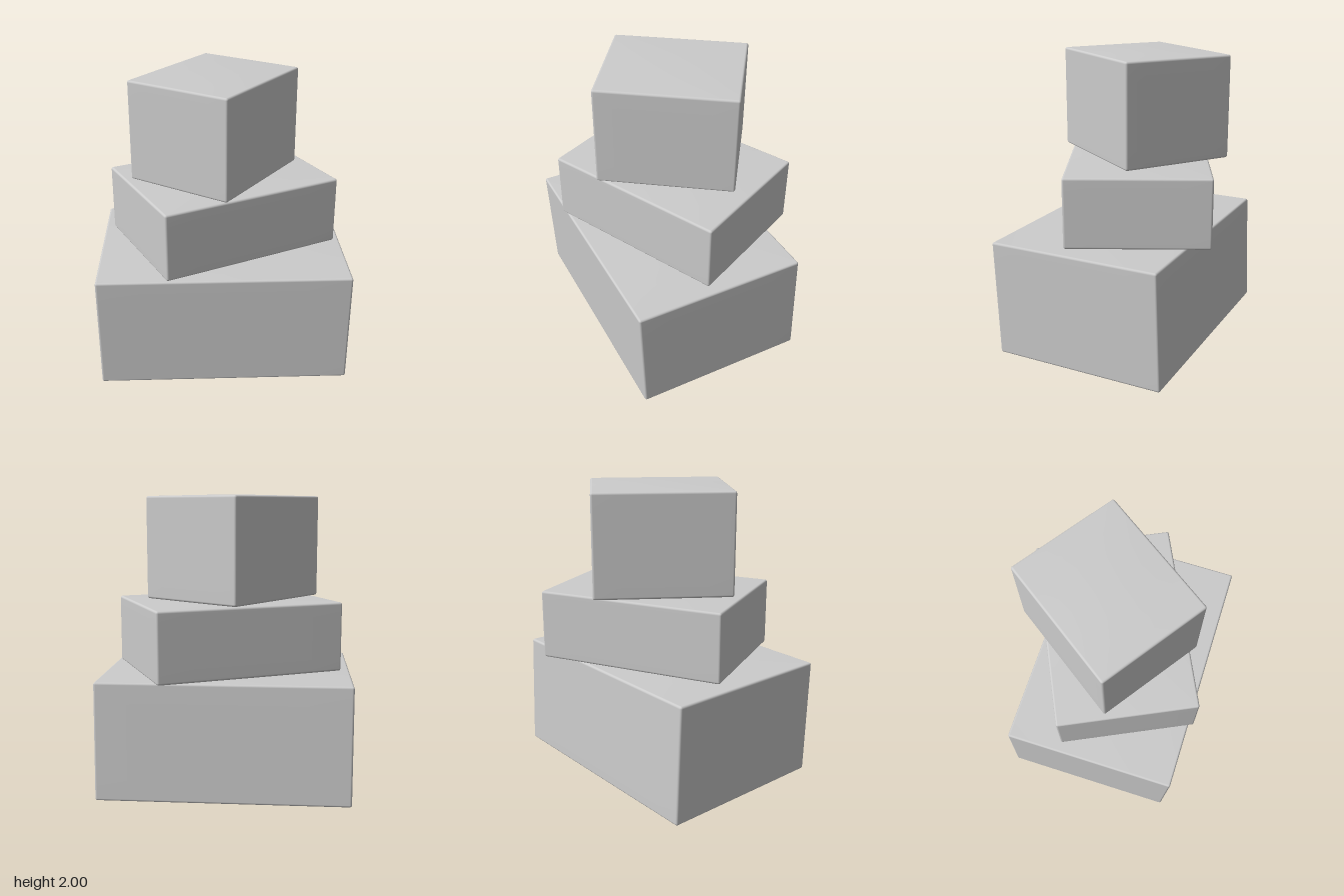
import * as THREE from 'three';
import { mergeVertices } from 'three/addons/utils/BufferGeometryUtils.js';

const SEG = 12;

// Soft-edged block with faintly domed top and bottom and an optional lean in z.
function softBox(w, h, d, r, dome, lean) {
  let geo = new THREE.BoxGeometry(1, 1, 1, SEG, SEG, SEG);
  geo.deleteAttribute('uv');
  geo.deleteAttribute('normal');
  geo = mergeVertices(geo);
  const half = new THREE.Vector3(w / 2, h / 2, d / 2);
  const inner = half.clone().subScalar(r);
  const pos = geo.attributes.position;
  const p = new THREE.Vector3();
  const core = new THREE.Vector3();
  // Half of the grid cells are gathered inside the rounded edge.
  const spread = (t, size) => {
    const s = Math.abs(t) * 2;
    const v = s <= 0.5 ? s * 2 * (size - r) : size - r + (s - 0.5) * 2 * r;
    return Math.sign(t) * v;
  };
  for (let i = 0; i < pos.count; i++) {
    p.set(spread(pos.getX(i), half.x), spread(pos.getY(i), half.y), spread(pos.getZ(i), half.z));
    core.copy(p).clamp(inner.clone().negate(), inner);
    p.sub(core).setLength(r).add(core);
    const u = p.x / half.x, v = p.y / half.y, q = p.z / half.z;
    p.y += v * dome * (1 - u * u) * (1 - q * q);
    p.z += v * lean;
    pos.setXYZ(i, p.x, p.y, p.z);
  }
  geo.computeVertexNormals();
  return geo;
}

export function createModel() {
  const group = new THREE.Group();
  const material = new THREE.MeshStandardMaterial({ color: 0xcccccc });

  // Stack from the ground up, each block turned differently.
  const blocks = [
    { name: 'bottomBlock', size: [1.68, 1.19], y: [0.01, 0.80], at: [0, 0], turn: 0.33, r: 0.015, dome: 0.01, lean: 0.015 },
    { name: 'middleBlock', size: [1.29, 0.94], y: [0.825, 1.29], at: [-0.01, -0.055], turn: 0.775, r: 0.015, dome: 0.012, lean: 0 },
    { name: 'topBlock', size: [0.77, 0.91], y: [1.31, 1.99], at: [-0.06, -0.06], turn: -0.283, r: 0.015, dome: 0.01, lean: 0 },
  ];
  for (const b of blocks) {
    const geo = softBox(b.size[0], b.y[1] - b.y[0], b.size[1], b.r, b.dome, b.lean);
    const mesh = new THREE.Mesh(geo, material);
    mesh.name = b.name;
    mesh.position.set(b.at[0], (b.y[0] + b.y[1]) / 2, b.at[1]);
    mesh.rotation.y = b.turn;
    group.add(mesh);
  }
  return group;
}
